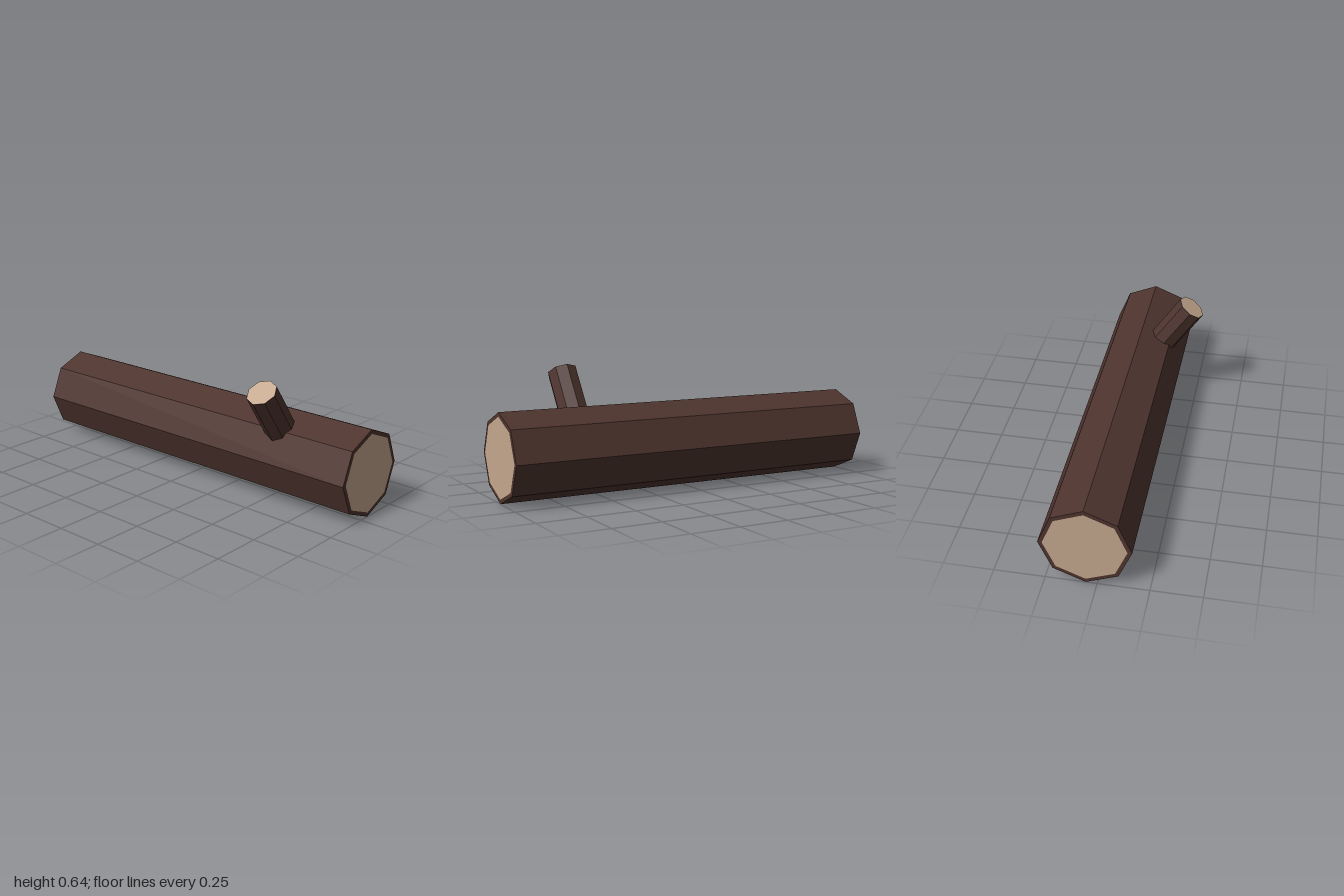
import * as THREE from 'three';

const SIDES = 8;
const bark = new THREE.MeshStandardMaterial({ color: 0x4e342e, flatShading: true });
const wood = new THREE.MeshStandardMaterial({ color: 0xc4a78e, flatShading: true });

function prism(name, radius, length, material) {
  const mesh = new THREE.Mesh(new THREE.CylinderGeometry(radius, radius, length, SIDES), material);
  mesh.name = name;
  return mesh;
}

// Thin cut face facing +y (end = 1) or -y (end = -1)
function cutFace(name, radius, y, end) {
  const mesh = new THREE.Mesh(new THREE.CircleGeometry(radius, SIDES), wood);
  mesh.name = name;
  mesh.rotation.x = -end * Math.PI / 2;
  mesh.position.y = y;
  return mesh;
}

export function createModel() {
  const model = new THREE.Group();
  model.name = 'log';

  // Trunk lying along x, with a bark rim around each cut end
  const trunk = new THREE.Group();
  trunk.name = 'trunk';
  trunk.add(prism('trunkBark', 0.2215, 1.998, bark));
  for (const end of [1, -1]) {
    trunk.add(cutFace(end > 0 ? 'rightCut' : 'leftCut', 0.2, end, end));
  }
  trunk.rotation.z = Math.PI / 2;
  trunk.position.set(0, 0.2215, -0.055);
  model.add(trunk);

  // Branch stub leaning forward out of the trunk
  const length = 0.4;
  const tilt = 0.603;
  const branch = new THREE.Group();
  branch.name = 'branch';
  const stub = prism('branchBark', 0.077, length, bark);
  stub.position.y = -length / 2;
  branch.add(stub, cutFace('branchCut', 0.076, 0.001, 1));
  branch.rotation.x = tilt;
  branch.position.set(0.555, 0.593, 0.2135);
  model.add(branch);

  return model;
}
